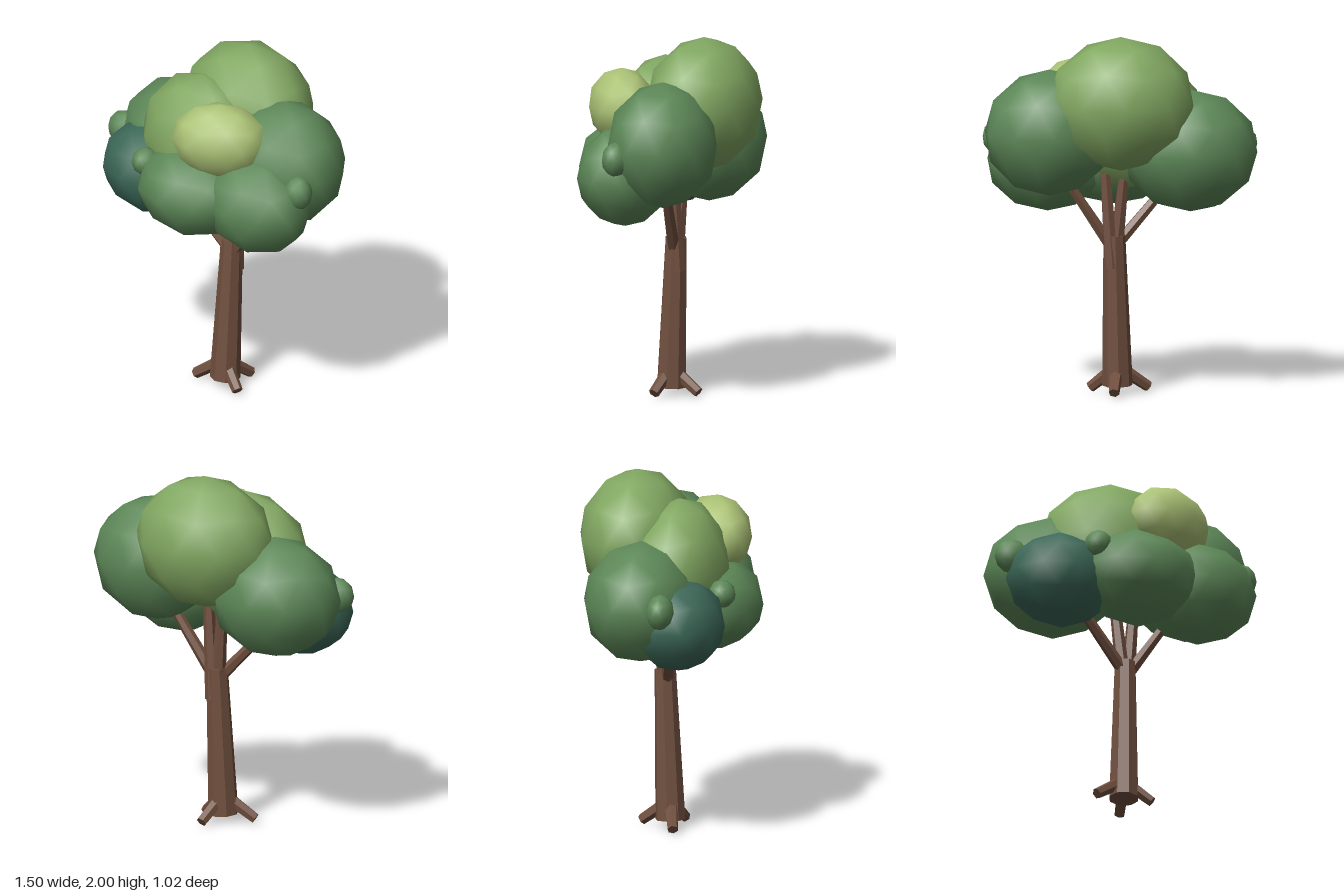
import * as THREE from 'three';

const material = (name, color, flatShading = false) => {
  const m = new THREE.MeshStandardMaterial({ color, flatShading });
  m.name = name;
  return m;
};

export function createModel() {
  const tree = new THREE.Group();
  tree.name = 'tree';

  const bark = material('bark brown', 0x71503f, true);
  const mid = material('leaf green', 0x5d8858);
  const light = material('light leaf green', 0x82a862);
  const yellow = material('yellow leaf green', 0xacc376);
  const teal = material('dark teal green', 0x3c6858);

  // Tapered, faceted limb between two points
  const limb = (name, from, to, r0, r1, sides = 6) => {
    const a = new THREE.Vector3(...from), b = new THREE.Vector3(...to);
    const dir = b.clone().sub(a);
    const mesh = new THREE.Mesh(new THREE.CylinderGeometry(r1, r0, dir.length(), sides), bark);
    mesh.name = name;
    mesh.position.copy(a).add(b).multiplyScalar(0.5);
    mesh.quaternion.setFromUnitVectors(new THREE.Vector3(0, 1, 0), dir.normalize());
    tree.add(mesh);
  };

  // Trunk
  limb('trunk', [0.02, 0.045, -0.012], [0.04, 0.88, -0.045], 0.084, 0.06, 8);

  // Branches reaching into the crown
  limb('leftBranch', [0.02, 0.83, -0.03], [-0.27, 1.15, 0.05], 0.034, 0.026);
  limb('rightBranch', [0.06, 0.82, -0.04], [0.31, 1.2, -0.08], 0.036, 0.026);
  limb('middleBranch', [0.035, 0.74, -0.045], [-0.01, 1.22, -0.07], 0.042, 0.03);
  limb('backBranch', [0.055, 0.7, -0.065], [0.09, 1.22, -0.05], 0.042, 0.03);

  // Roots
  for (const [x, z] of [[-0.155, 0.04], [0.165, 0.04], [0.055, -0.18]]) {
    limb('root', [0.02 + (x - 0.02) * 0.2, 0.125, -0.01 + (z + 0.01) * 0.2], [x, 0.026, z], 0.036, 0.03);
  }

  // Leaf clumps: smooth icospheres with a vertex pointing straight up
  const ball = new THREE.IcosahedronGeometry(1, 1);
  ball.rotateZ(Math.atan(2 / (1 + Math.sqrt(5))));
  const clump = (name, mat, position, size, turn = 0) => {
    const mesh = new THREE.Mesh(ball, mat);
    mesh.name = name;
    mesh.position.set(...position);
    mesh.scale.set(...size);
    mesh.rotation.y = turn;
    tree.add(mesh);
  };

  clump('topClump', light, [0.02, 1.63, -0.2], [0.41, 0.37, 0.315]);
  clump('upperFrontClump', light, [-0.08, 1.49, 0.06], [0.385, 0.38, 0.28]);
  clump('highlightClump', yellow, [0.2, 1.622, 0.21], [0.275, 0.213, 0.185], 0.52);
  clump('backLeftClump', mid, [0.4, 1.46, -0.095], [0.365, 0.35, 0.305]);
  clump('backRightClump', mid, [-0.37, 1.35, -0.092], [0.38, 0.337, 0.317]);
  clump('frontClump', mid, [0.015, 1.275, 0.22], [0.35, 0.26, 0.29]);
  clump('frontLeftClump', mid, [0.39, 1.28, 0.125], [0.34, 0.285, 0.26]);
  clump('frontRightClump', teal, [-0.395, 1.24, 0.125], [0.305, 0.262, 0.26]);

  // Small tufts
  clump('rightTuft', mid, [-0.66, 1.36, 0.08], [0.1, 0.1, 0.078]);
  clump('leftTuft', mid, [0.668, 1.415, 0.083], [0.085, 0.098, 0.077]);
  clump('frontTuft', mid, [-0.25, 1.385, 0.335], [0.078, 0.08, 0.078]);

  return tree;
}
